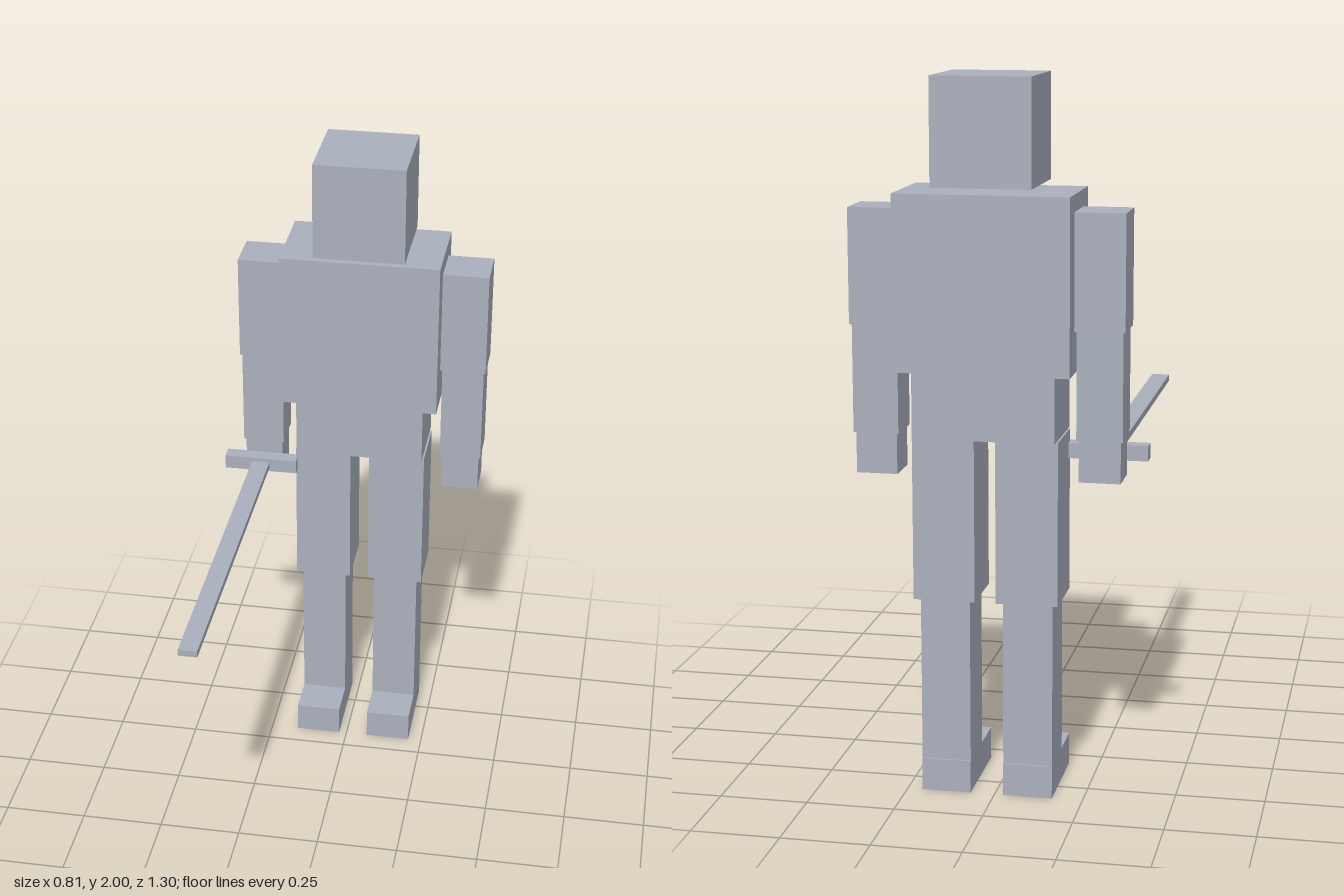
import * as THREE from 'three';

const grey = new THREE.MeshStandardMaterial({ color: 0xaab0bc });
grey.name = 'plain grey';

// Box given by its extents along each axis
function block(name, [x0, x1], [y0, y1], [z0, z1]) {
  const mesh = new THREE.Mesh(new THREE.BoxGeometry(x1 - x0, y1 - y0, z1 - z0), grey);
  mesh.position.set((x0 + x1) / 2, (y0 + y1) / 2, (z0 + z1) / 2);
  mesh.name = name;
  return mesh;
}

// Box centred on x with a given width, for limbs
const limb = (name, x, width, y, z) => block(name, [x - width / 2, x + width / 2], y, z);

export function createModel() {
  const model = new THREE.Group();
  model.name = 'swordsman';

  // Head and trunk
  model.add(
    block('head', [-0.115, 0.16], [1.706, 2], [-0.635, -0.358]),
    block('chest', [-0.22, 0.263], [1.207, 1.69], [-0.648, -0.372]),
    block('hips', [-0.175, 0.219], [1.021, 1.207], [-0.623, -0.395]),
  );

  // Arms and legs, mirrored about the body's centre line
  const middle = 0.022;
  for (const [side, s] of [['right', -1], ['left', 1]]) {
    const armX = middle + s * 0.311;
    const arm = new THREE.Group();
    arm.name = side + 'Arm';
    arm.add(
      limb('upperArm', armX, 0.139, [1.323, 1.643], [-0.579, -0.441]),
      limb('forearm', armX, 0.127, [1.021, 1.323], [-0.573, -0.447]),
      limb('hand', armX, 0.115, [0.906, 1.021], [-0.566, -0.453]),
    );
    const legX = middle + s * 0.116;
    const leg = new THREE.Group();
    leg.name = side + 'Leg';
    leg.add(
      limb('thigh', legX, 0.173, [0.561, 1.021], [-0.602, -0.416]),
      limb('shin', legX, 0.139, [0.093, 0.561], [-0.587, -0.437]),
      limb('foot', legX, 0.139, [0, 0.093], [-0.592, -0.315]),
    );
    model.add(arm, leg);
  }

  // Sword held forward in the right hand
  const sword = new THREE.Group();
  sword.name = 'sword';
  sword.add(
    limb('grip', -0.29, 0.054, [0.953, 0.973], [-0.5, -0.438]),
    limb('guard', -0.29, 0.226, [0.942, 0.985], [-0.438, -0.394]),
    limb('blade', -0.29, 0.055, [0.953, 0.973], [-0.394, 0.648]),
  );
  model.add(sword);
  return model;
}
